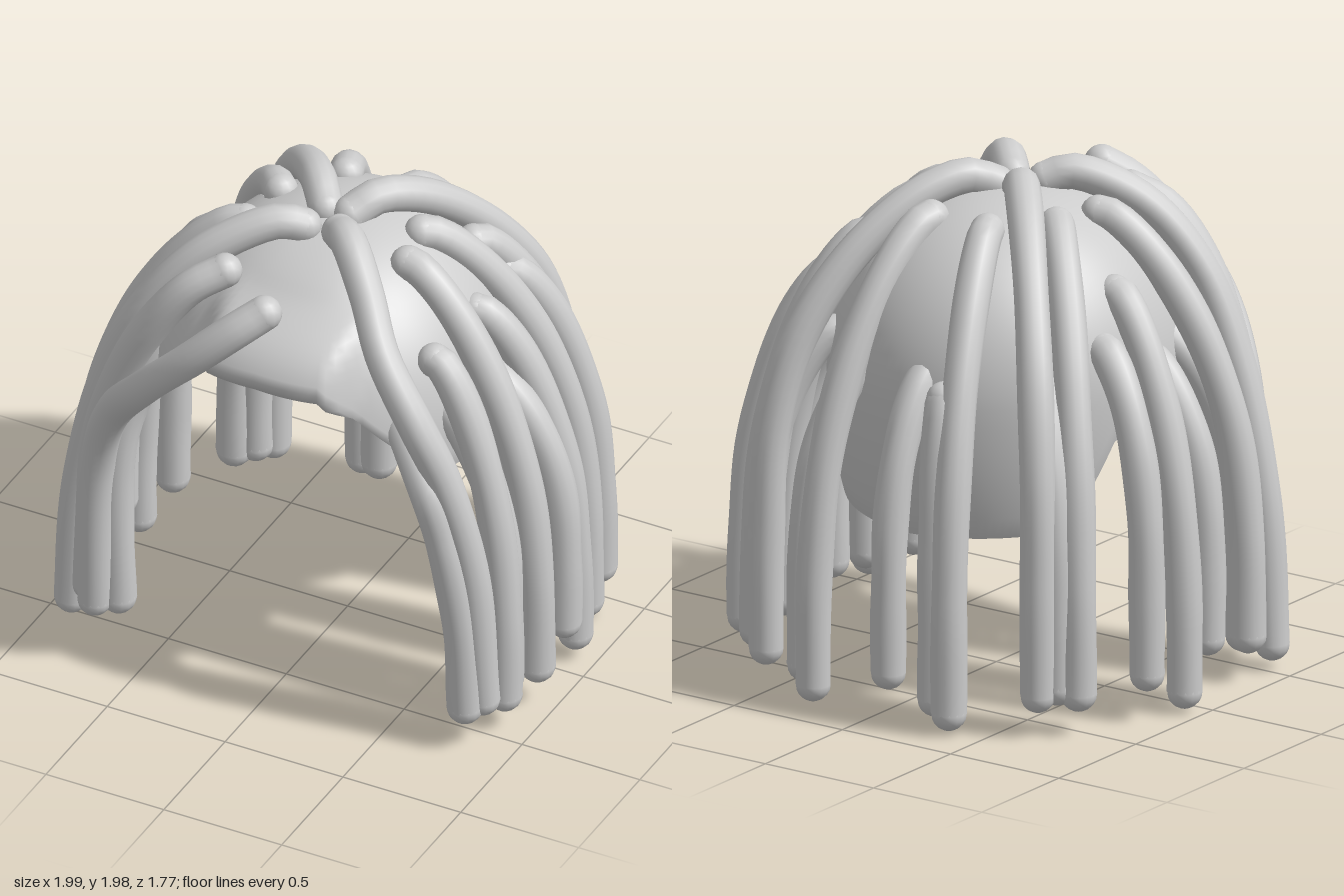
import * as THREE from 'three';
import { mergeGeometries, mergeVertices } from 'three/addons/utils/BufferGeometryUtils.js';

const hair = new THREE.MeshStandardMaterial({ color: 0xcccccc, side: THREE.DoubleSide });
hair.name = 'hair grey';

// Height of the cap's lower edge by angle from the front (0) to the back (PI)
const RIM = [[0, 1.5], [0.42, 1.49], [0.62, 1.38], [1.08, 1.08], [1.82, 1.06], [1.98, 0.86], [2.12, 0.75], [2.4, 0.7], [3.2, 0.68]];
function rimHeight(a) {
  const i = Math.max(1, RIM.findIndex((r) => r[0] >= a));
  const [a0, y0] = RIM[i - 1], [a1, y1] = RIM[i];
  return THREE.MathUtils.lerp(y0, y1, (a - a0) / (a1 - a0));
}

// Domed cap: outer skin down to the rim, then back up the inner skin
function capGeometry() {
  const cols = 120, rows = 24, pos = [], idx = [], cy = 1.2;
  const { smoothstep } = THREE.MathUtils;
  for (let j = 0; j <= rows * 2 + 1; j++) {
    const inner = j > rows;
    const t = (inner ? rows * 2 + 1 - j : j) / rows;
    const s = inner ? 0.975 : 1;
    for (let i = 0; i < cols; i++) {
      const a = (i / cols) * Math.PI * 2;
      const rim = rimHeight(Math.min(a, Math.PI * 2 - a));
      const end = Math.acos((rim - cy) / (rim > cy ? 0.69 : 1.1));
      const f = end * t, c = Math.cos(f), r = Math.pow(Math.sin(f), 0.92) * s;
      const fuller = Math.cos(a) > 0 ? 1 + 0.05 * Math.sin(2 * a) ** 2 : 1;
      const x = Math.sin(a) * 0.66 * r * fuller;
      let y = cy + c * (c > 0 ? 0.69 * s : 1.1);
      let z = 0.06 + Math.cos(a) * 0.7 * r * fuller;
      // Squared brow that juts out over the face opening
      if (z > 0) {
        const brow = (1 - smoothstep(Math.abs(x - 0.03), 0.24, 0.34)) * smoothstep(r, 0.6, 0.9);
        z += 0.08 * brow;
        y += inner ? 0 : 0.04 * brow;
      }
      pos.push(x, y, z);
    }
  }
  for (let j = 0; j < rows * 2 + 1; j++) {
    for (let i = 0; i < cols; i++) {
      const k = (i + 1) % cols, a = j * cols + i, b = j * cols + k;
      idx.push(a, a + cols, b, b, a + cols, b + cols);
    }
  }
  const g = new THREE.BufferGeometry();
  g.setAttribute('position', new THREE.Float32BufferAttribute(pos, 3));
  g.setIndex(idx);
  const m = mergeVertices(g, 1e-5);
  m.computeVertexNormals();
  return m;
}

// Round-ended lock, slightly uneven in thickness
function lockGeometry(points, radius = 0.07) {
  const curve = new THREE.CatmullRomCurve3(points, false, 'centripetal');
  const segs = 40, sides = 14;
  const tube = new THREE.TubeGeometry(curve, segs, 1, sides, false);
  const p = tube.attributes.position, v = new THREE.Vector3();
  const size = (u) => radius * (0.98 + 0.03 * Math.sin(u * 17 + points[0].x * 9));
  for (let j = 0; j <= segs; j++) {
    const c = curve.getPointAt(j / segs);
    for (let i = 0; i <= sides; i++) {
      const n = j * (sides + 1) + i;
      v.fromBufferAttribute(p, n).sub(c).multiplyScalar(size(j / segs)).add(c);
      p.setXYZ(n, v.x, v.y, v.z);
    }
  }
  const caps = [0, 1].map((u) => {
    const c = curve.getPointAt(u);
    return new THREE.SphereGeometry(size(u), sides, 10).translate(c.x, c.y, c.z);
  });
  return mergeGeometries([tube, ...caps]);
}

// Hanging path: moves out quickly from the root, then drops to the tip
function hang([x0, y0, z0], [x1, y1, z1], k, hump) {
  return [0, 0.025, 0.06, 0.11, 0.19, 0.32, 0.5, 0.75, 1].map((q) => {
    const p = 1 - Math.pow(1 - q, k);
    return new THREE.Vector3(
      THREE.MathUtils.lerp(x0, x1, p),
      THREE.MathUtils.lerp(y0, y1, q) + hump * Math.sin(Math.PI * Math.pow(p, 0.65)),
      THREE.MathUtils.lerp(z0, z1, p));
  });
}

// Locks by layer: root and tip of each
const CROWN = [
  [[0.05, 1.89, 0.07], [0.58, 0.15, -0.68]],
  [[-0.05, 1.89, 0.08], [-0.64, 0.18, -0.63]],
];
const MIDDLE = [
  [[0.13, 1.82, -0.24], [0.27, 0.1, -0.81]],
  [[-0.13, 1.82, -0.24], [-0.35, 0.1, -0.8]],
  [[-0.3, 1.82, -0.03], [-0.75, 0.18, -0.52]],
  [[0.3, 1.82, -0.03], [0.82, 0.09, -0.37]],
  [[0.34, 1.81, 0.16], [0.92, 0.19, 0.22]],
  [[-0.33, 1.81, 0.2], [-0.9, 0.2, 0.37]],
  [[0.42, 1.7, -0.22], [0.72, 0.16, -0.54]],
  [[0.54, 1.56, 0], [0.91, 0.13, -0.11]],
  [[0.55, 1.55, 0.35], [0.88, 0.16, 0.41]],
  [[-0.53, 1.58, 0.02], [-0.92, 0.1, -0.07]],
  [[0.52, 1.56, -0.28], [0.82, 0.18, -0.48]],
];
const LOWER = [
  [[-0.08, 1.34, -0.52], [-0.07, 0.21, -0.8]],
  [[0.19, 1.34, -0.5], [0.33, 0.16, -0.78]],
  [[-0.22, 1.28, -0.65], [-0.26, 0.13, -0.76]],
  [[0.45, 1.35, -0.38], [0.66, 0.18, -0.6]],
  [[0.59, 1.32, 0.04], [0.93, 0.27, 0.02]],
  [[0.53, 1.33, 0.3], [0.86, 0.2, 0.36]],
  [[-0.58, 1.4, -0.13], [-0.86, 0.2, -0.23]],
  [[-0.61, 1.33, 0.08], [-0.92, 0.27, 0.08]],
  [[-0.52, 1.34, 0.3], [-0.84, 0.18, 0.42]],
  [[-0.46, 1.33, -0.39], [-0.68, 0.2, -0.56]],
];
// Front locks swept sideways around the face opening
const SWEPT = {
  frontLeftCrownLock: [[0.07, 1.89, 0.2], [0.15, 1.92, 0.28], [0.3, 1.81, 0.42], [0.44, 1.66, 0.56], [0.61, 1.44, 0.62], [0.73, 1.18, 0.6], [0.82, 0.8, 0.57], [0.86, 0.22, 0.55]],
  frontRightCrownLock: [[-0.07, 1.89, 0.22], [-0.15, 1.92, 0.28], [-0.38, 1.8, 0.43], [-0.58, 1.55, 0.52], [-0.74, 1.17, 0.54], [-0.85, 0.7, 0.54], [-0.89, 0.12, 0.54]],
  frontRightMiddleLock: [[-0.25, 1.81, 0.52], [-0.36, 1.74, 0.59], [-0.5, 1.55, 0.63], [-0.65, 1.25, 0.62], [-0.76, 0.85, 0.58], [-0.8, 0.22, 0.56]],
  fringeLock: [[0.01, 1.81, 0.7], [-0.08, 1.74, 0.77], [-0.24, 1.59, 0.82], [-0.45, 1.38, 0.8], [-0.64, 1.13, 0.69], [-0.73, 0.85, 0.63], [-0.75, 0.2, 0.62]],
  lowerLeftTempleLock: [[0.4, 1.36, 0.42], [0.53, 1.31, 0.54], [0.66, 1.17, 0.63], [0.73, 0.95, 0.63], [0.79, 0.6, 0.61], [0.81, 0.2, 0.6]],
  lowerRightTempleLock: [[-0.4, 1.35, 0.34], [-0.52, 1.31, 0.42], [-0.64, 1.1, 0.5], [-0.69, 0.8, 0.55], [-0.68, 0.2, 0.56]],
};

export function createModel() {
  const model = new THREE.Group();
  model.name = 'lockedHairWig';
  const add = (name, geometry) => {
    const mesh = new THREE.Mesh(geometry, hair);
    mesh.name = name;
    model.add(mesh);
  };
  const addLayer = (name, locks, k, hump) => locks.forEach(([root, tip], i) => {
    add(`${name}${i + 1}`, lockGeometry(hang(root, tip, k, hump)));
  });
  add('cap', capGeometry());
  addLayer('crownLock', CROWN, 5, 0.12);
  addLayer('middleLock', MIDDLE, 3.3, 0.06);
  addLayer('lowerLock', LOWER, 4.5, 0.04);
  for (const [name, pts] of Object.entries(SWEPT)) {
    add(name, lockGeometry(pts.map((p) => new THREE.Vector3(...p))));
  }
  return model;
}
